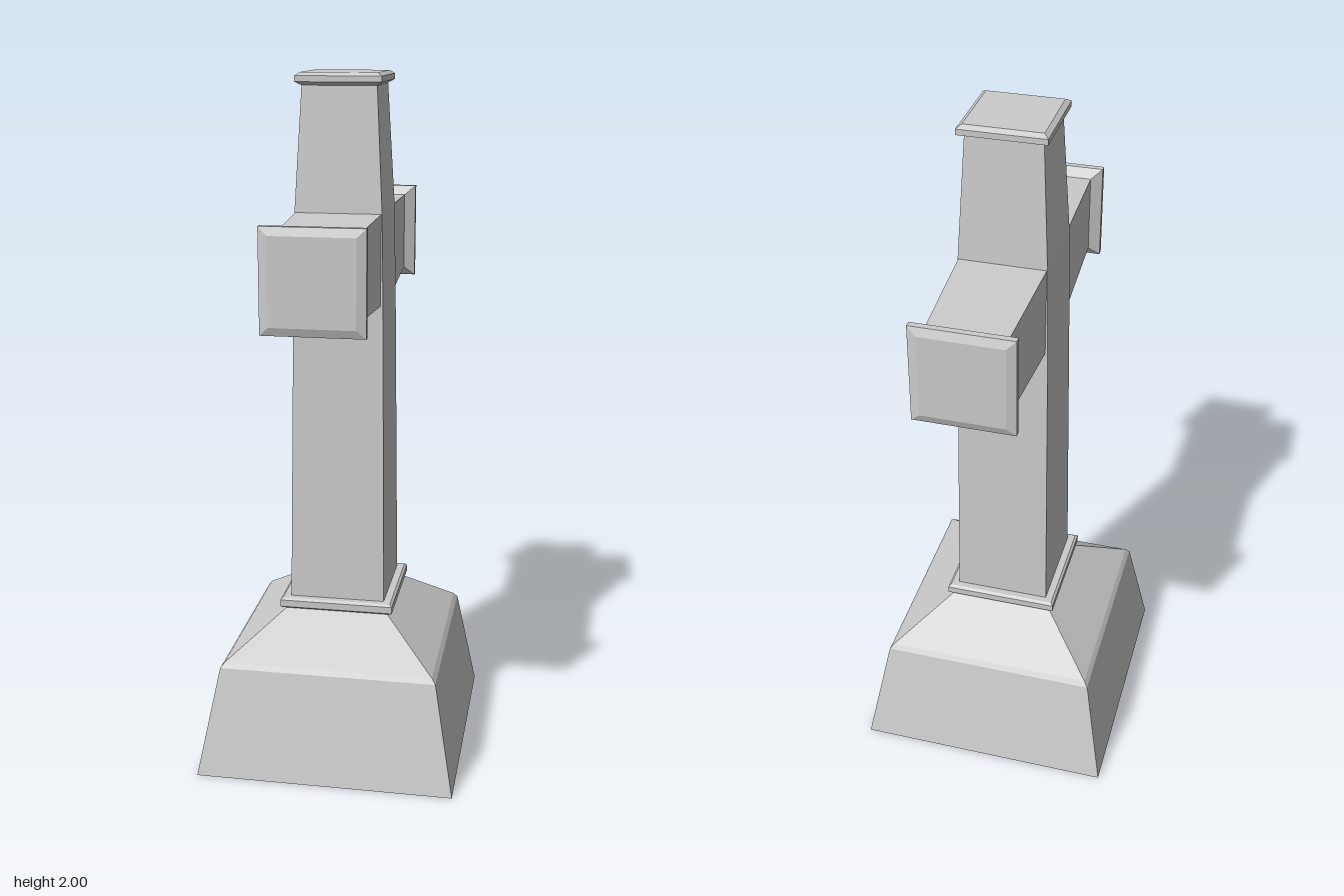
import * as THREE from 'three';

const material = new THREE.MeshStandardMaterial({ color: 0xcccccc, flatShading: true });

// Closed loft through rectangles, each given as [height, half width x, half depth z]
function loftRects(sections) {
  const rings = sections.map(([y, x, z]) => [[x, y, z], [x, y, -z], [-x, y, -z], [-x, y, z]]);
  const positions = [];
  const quad = (a, b, c, d) => positions.push(...a, ...b, ...c, ...a, ...c, ...d);
  for (let i = 0; i < rings.length - 1; i++) {
    const low = rings[i], high = rings[i + 1];
    for (let k = 0; k < 4; k++) {
      const n = (k + 1) % 4;
      quad(low[k], low[n], high[n], high[k]);
    }
  }
  const [a, b, c, d] = rings[0];
  quad(d, c, b, a);
  quad(...rings[rings.length - 1]);
  const geometry = new THREE.BufferGeometry();
  geometry.setAttribute('position', new THREE.Float32BufferAttribute(positions, 3));
  geometry.computeVertexNormals();
  return geometry;
}

function part(name, sections) {
  const mesh = new THREE.Mesh(loftRects(sections), material);
  mesh.name = name;
  return mesh;
}

export function createModel() {
  const model = new THREE.Group();
  model.name = 'stoneCross';

  // Sloping plinth with a softened shoulder
  model.add(part('plinth', [
    [0, 0.375, 0.39], [0.3, 0.319, 0.328], [0.318, 0.315, 0.324],
    [0.332, 0.304, 0.313], [0.456, 0.143, 0.147],
  ]));

  // Thin collar under the shaft
  model.add(part('collar', [
    [0.453, 0.16, 0.164], [0.459, 0.167, 0.172], [0.479, 0.167, 0.172], [0.485, 0.16, 0.164],
  ]));

  // Tapered upright
  model.add(part('shaft', [
    [0.48, 0.139, 0.145], [1.365, 0.128, 0.128], [1.62, 0.123, 0.124], [1.972, 0.104, 0.101],
  ]));

  // Bevelled cap on the upright
  model.add(part('topCap', [
    [1.965, 0.104, 0.102], [1.975, 0.12, 0.125], [1.991, 0.12, 0.125], [2, 0.107, 0.11],
  ]));

  // Two arms along z, each with a flared end cap
  for (const side of [1, -1]) {
    const arm = new THREE.Group();
    arm.name = side > 0 ? 'frontArm' : 'backArm';
    arm.add(part('armBeam', [[0.1, 0.122, 0.129], [0.465, 0.108, 0.114]]));
    arm.add(part('armCap', [
      [0.458, 0.108, 0.114], [0.477, 0.14, 0.141], [0.495, 0.14, 0.141], [0.504, 0.115, 0.118],
    ]));
    arm.position.y = 1.494;
    arm.rotation.x = side * Math.PI / 2;
    model.add(arm);
  }
  return model;
}
